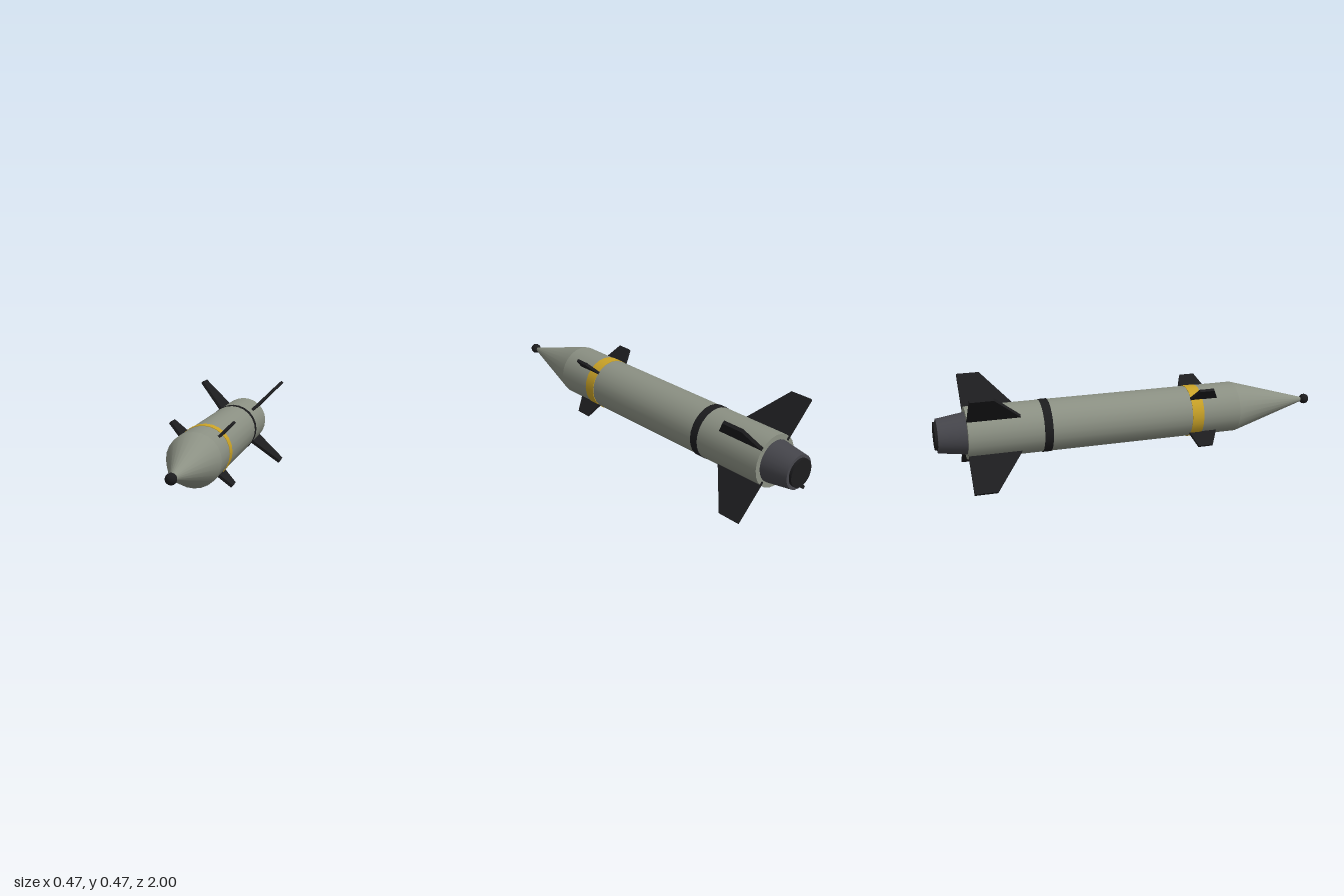
import * as THREE from 'three';

const SEGMENTS = 24;
const paint = (color) => new THREE.MeshStandardMaterial({ color });

export function createModel() {
  const model = new THREE.Group();
  model.name = 'missile';
  const hull = paint(0x8b9083);
  const black = paint(0x1c1c1e);
  const yellow = paint(0xc9a227);
  const steel = paint(0x45454b);

  const add = (name, geometry, material, parent = model) => {
    const mesh = new THREE.Mesh(geometry, material);
    mesh.name = name;
    parent.add(mesh);
    return mesh;
  };

  // Round section along z, from back to front
  const section = (name, zBack, zFront, rBack, rFront, material) => {
    const geometry = new THREE.CylinderGeometry(rFront, rBack, zFront - zBack, SEGMENTS);
    geometry.rotateX(Math.PI / 2);
    geometry.translate(0, 0, (zBack + zFront) / 2);
    return add(name, geometry, material);
  };

  section('body', -0.85, 0.545, 0.13, 0.13, hull);
  section('noseCone', 0.545, 0.965, 0.13, 0.008, hull);
  section('frontBand', 0.283, 0.344, 0.1325, 0.1325, yellow);
  section('rearBand', -0.482, -0.44, 0.1325, 0.1325, black);
  section('nozzle', -0.987, -0.85, 0.084, 0.104, steel);
  section('nozzleExit', -1, -0.98, 0.069, 0.069, black);

  // Nose tip
  add('noseTip', new THREE.SphereGeometry(0.026, 16, 12), black).position.z = 0.974;

  // Fin outline as [z, radius] points, extruded to its thickness and stood radially
  const finGeometry = (outline, thickness) => {
    const shape = new THREE.Shape(outline.map(([z, r]) => new THREE.Vector2(z, r)));
    const geometry = new THREE.ExtrudeGeometry(shape, { depth: thickness, bevelEnabled: false });
    geometry.translate(0, 0, -thickness / 2);
    geometry.rotateY(-Math.PI / 2);
    return geometry;
  };
  const tailFin = finGeometry(
    [[-0.85, 0.11], [-0.592, 0.11], [-0.592, 0.131], [-0.738, 0.327], [-0.85, 0.327]], 0.016);
  const canard = finGeometry(
    [[0.28, 0.11], [0.424, 0.11], [0.424, 0.131], [0.386, 0.21], [0.31, 0.21], [0.28, 0.131]], 0.014);

  // Four tail fins and four canards in an X layout
  for (let i = 0; i < 4; i++) {
    const angle = Math.PI / 4 + (i * Math.PI) / 2;
    add('tailFin' + (i + 1), tailFin, black).rotation.z = angle;
    add('canard' + (i + 1), canard, black).rotation.z = angle;
  }

  // Raise the axis so the lower fins touch the ground
  for (const part of model.children) part.position.y = 0.237;
  return model;
}
